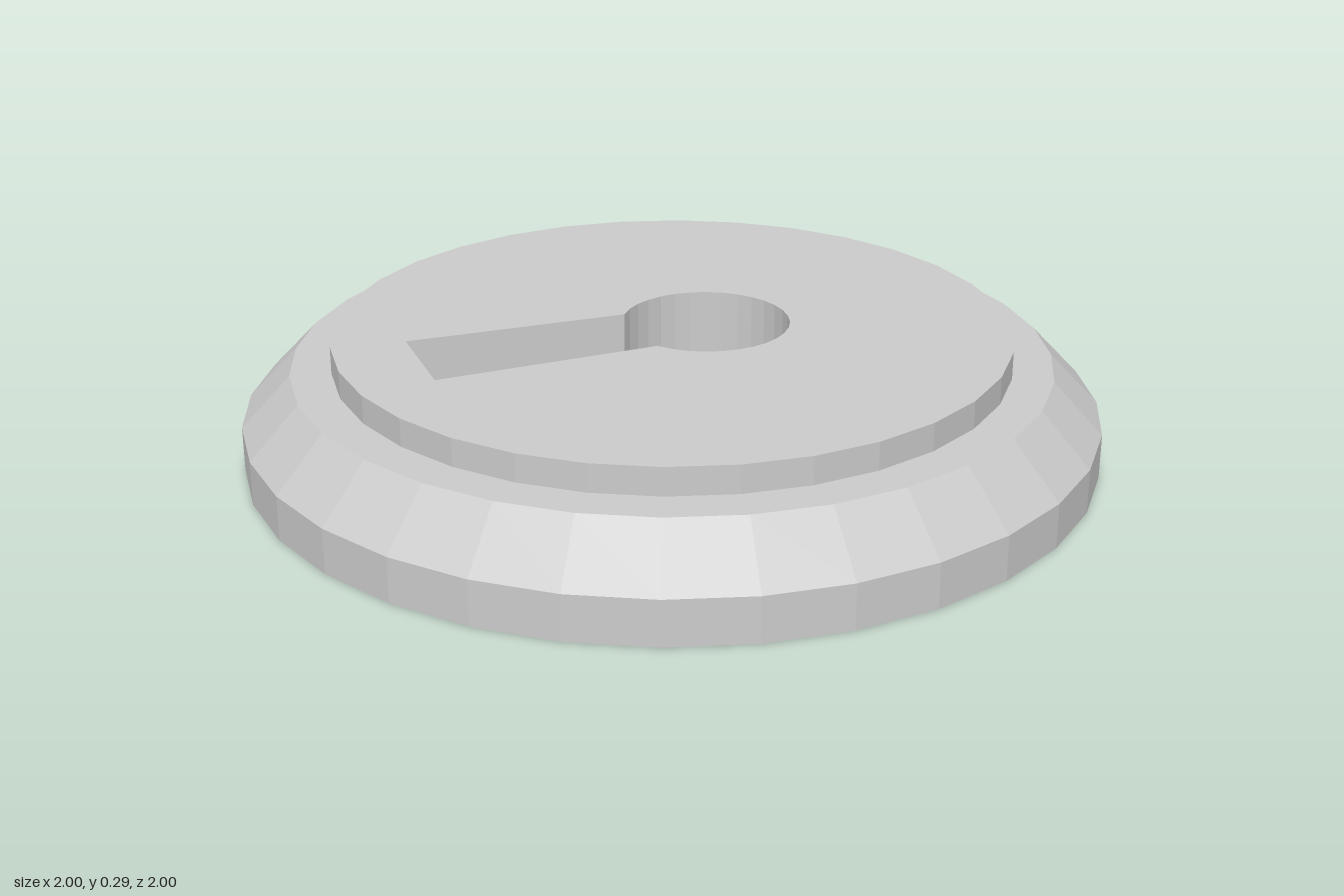
import * as THREE from 'three';

const SIDES = 32;
const FLOOR = 0.1, TOP = 0.29;

// Keyhole outline: a round bore with a slightly flared slot towards -x
function keyholePoints() {
  const cx = 0.085, r = 0.197, neck = Math.PI - 0.59, steps = 26;
  const points = [new THREE.Vector2(-0.605, -0.125)];
  for (let i = 0; i <= steps; i++) {
    const a = -neck + (2 * neck * i) / steps;
    points.push(new THREE.Vector2(cx + r * Math.cos(a), r * Math.sin(a)));
  }
  points.push(new THREE.Vector2(-0.605, 0.125));
  return points;
}

function discShape(radius) {
  const points = [];
  for (let i = 0; i < SIDES; i++) {
    const a = (i / SIDES) * Math.PI * 2;
    points.push(new THREE.Vector2(radius * Math.cos(a), radius * Math.sin(a)));
  }
  return new THREE.Shape(points);
}

export function createModel() {
  const group = new THREE.Group();
  group.name = 'keyholeDisc';
  const material = new THREE.MeshStandardMaterial({ color: 0xcccccc, flatShading: true });

  const add = (name, geometry, y = 0) => {
    const mesh = new THREE.Mesh(geometry, material);
    mesh.name = name;
    mesh.position.y = y;
    group.add(mesh);
  };

  // Closed underside, upright rim, chamfer and narrow ledge
  const profile = [[0, 0], [1, 0], [1, 0.105], [0.885, 0.225], [0.78, 0.225]];
  add('chamferedBase', new THREE.LatheGeometry(profile.map(([x, y]) => new THREE.Vector2(x, y)), SIDES));

  // Raised disc with the keyhole sunk through it
  const plate = discShape(0.79);
  plate.holes.push(new THREE.Path(keyholePoints()));
  const plateGeometry = new THREE.ExtrudeGeometry(plate, { depth: TOP - FLOOR, bevelEnabled: false });
  add('raisedPlate', plateGeometry.rotateX(-Math.PI / 2), FLOOR);

  // Floor of the recess
  const floorGeometry = new THREE.ShapeGeometry(new THREE.Shape(keyholePoints()));
  add('keyholeFloor', floorGeometry.rotateX(-Math.PI / 2), FLOOR);

  return group;
}
